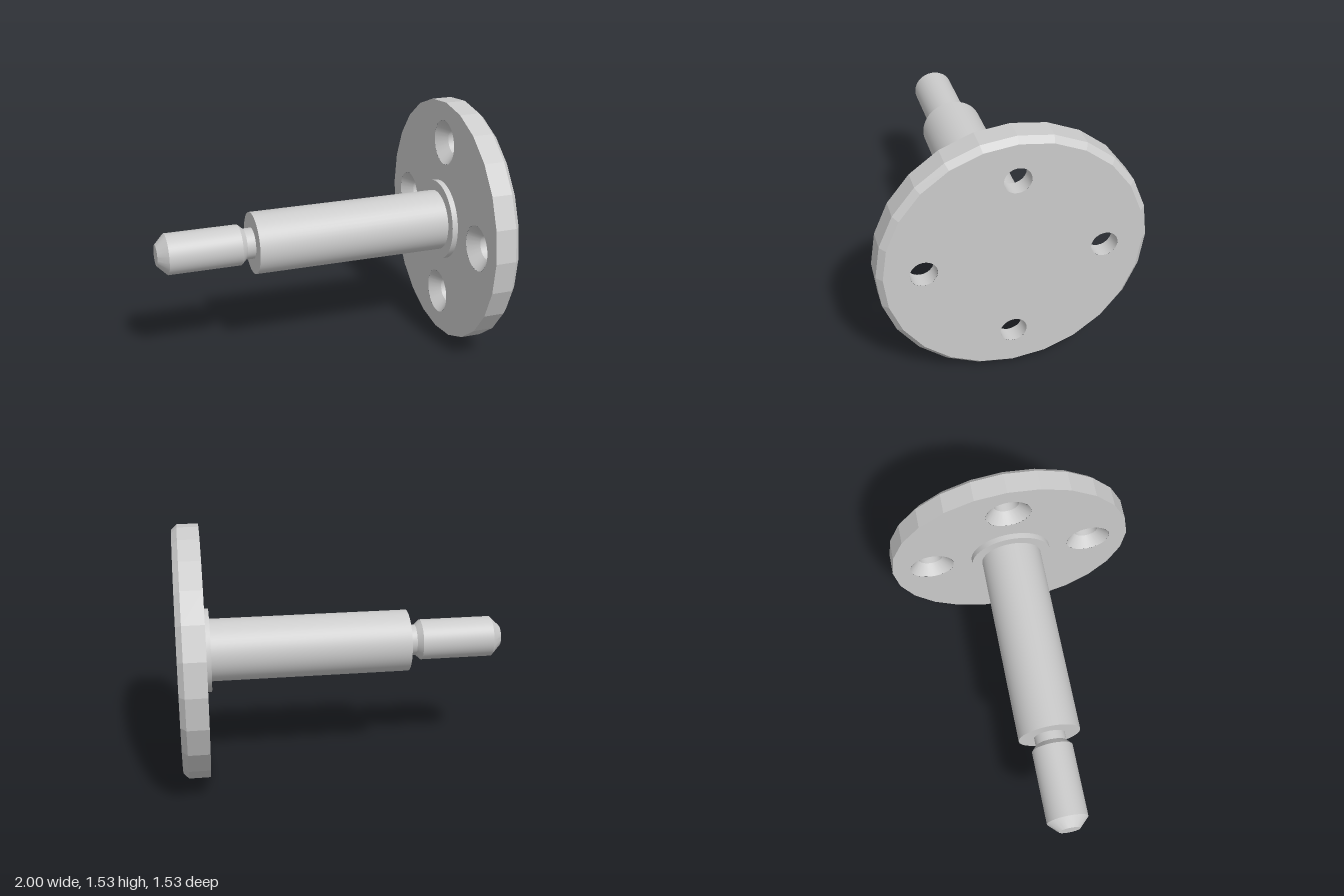
import * as THREE from 'three';
import { toCreasedNormals } from 'three/addons/utils/BufferGeometryUtils.js';

const AXIS_Y = 0.765;      // height of the shaft axis
const FLANGE_R = 0.765;
const SIDES = 24;          // the flange rim is visibly faceted
const HOLE_RING = 0.51;
const HOLE_R = 0.077;
const SINK_R = 0.14;
const BACK_X = 0.84;
const FRONT_X = 1;

const smooth = new THREE.MeshStandardMaterial({ color: 0xcccccc });
const faceted = new THREE.MeshStandardMaterial({ color: 0xcccccc, flatShading: true });

// Turns a profile of [radius, x] pairs about the x axis
function turned(profile, segments) {
  const points = profile.map(([r, x]) => new THREE.Vector2(r, x));
  return new THREE.LatheGeometry(points, segments).rotateZ(-Math.PI / 2);
}

function addMesh(parent, name, geometry, material) {
  const mesh = new THREE.Mesh(geometry, material);
  mesh.name = name;
  parent.add(mesh);
  return mesh;
}

// Polygonal disc with four round holes, in the XY plane
function drilledDisc(radius, holeRadius) {
  const corners = [];
  for (let i = 0; i < SIDES; i++) {
    const a = (i / SIDES) * Math.PI * 2;
    corners.push(new THREE.Vector2(radius * Math.cos(a), radius * Math.sin(a)));
  }
  const shape = new THREE.Shape(corners);
  for (let i = 0; i < 4; i++) {
    const a = (i * Math.PI) / 2;
    const hole = new THREE.Path();
    hole.absarc(HOLE_RING * Math.cos(a), HOLE_RING * Math.sin(a), holeRadius, 0, Math.PI * 2, true);
    shape.holes.push(hole);
  }
  return new THREE.ShapeGeometry(shape, SIDES);
}

function createFlange() {
  const flange = new THREE.Group();
  flange.name = 'flange';

  // Rim with a chamfer on the outer side
  addMesh(flange, 'flangeRim', turned([
    [FLANGE_R, BACK_X], [FLANGE_R, 0.967], [0.732, FRONT_X],
  ], SIDES), faceted);

  // Flat faces
  const front = drilledDisc(0.732, HOLE_R).rotateY(Math.PI / 2).translate(FRONT_X, 0, 0);
  const back = drilledDisc(FLANGE_R, SINK_R).rotateY(-Math.PI / 2).translate(BACK_X, 0, 0);
  addMesh(flange, 'flangeOuterFace', front, smooth);
  addMesh(flange, 'flangeInnerFace', back, smooth);

  // Countersunk hole walls, facing inwards
  const wall = toCreasedNormals(turned([
    [HOLE_R, FRONT_X], [HOLE_R, BACK_X + 0.065], [SINK_R, BACK_X],
  ], SIDES), Math.PI / 6);
  for (let i = 0; i < 4; i++) {
    const a = (i * Math.PI) / 2;
    const hole = addMesh(flange, 'countersunkHole', wall, smooth);
    hole.position.set(0, HOLE_RING * Math.sin(a), HOLE_RING * Math.cos(a));
  }
  return flange;
}

export function createModel() {
  const model = new THREE.Group();
  model.name = 'flangedShaft';

  const body = new THREE.Group();
  body.name = 'body';
  body.position.y = AXIS_Y;
  model.add(body);

  body.add(createFlange());

  // Chamfered end pin, relief neck, main shaft and collar
  const parts = {
    endPin: [[0, -1], [0.065, -1], [0.125, -0.94], [0.125, -0.495], [0.095, -0.462]],
    reliefNeck: [[0.095, -0.462], [0.095, -0.41]],
    mainShaft: [[0.095, -0.41], [0.19, -0.41], [0.19, 0.805]],
    collar: [[0.19, 0.805], [0.253, 0.805], [0.253, BACK_X]],
  };
  for (const [name, profile] of Object.entries(parts)) {
    addMesh(body, name, toCreasedNormals(turned(profile, 48), Math.PI / 6), smooth);
  }
  return model;
}
